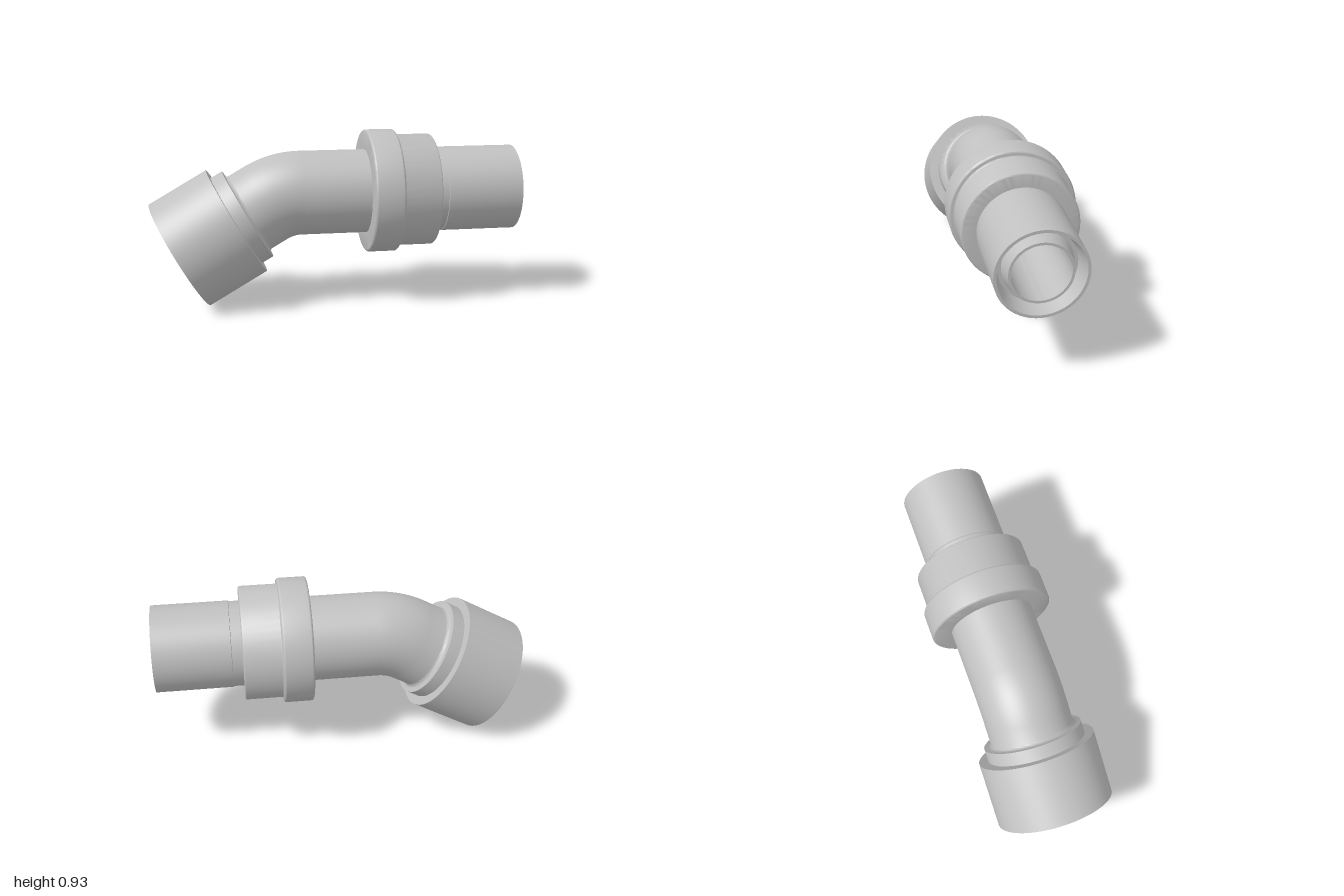
import * as THREE from 'three';
import { toCreasedNormals } from 'three/addons/utils/BufferGeometryUtils.js';

const SEG = 96;
const AXIS_Y = 0.595;            // height of the straight pipe's axis
const PIPE_R = 0.2275, BORE_R = 0.147;
const BEND_X = -0.187, BEND_R = 0.373, BEND_ANGLE = Math.PI / 6;

// Quarter-round from angle a0 to a1 about (r, s) in a lathe profile
function round(r, s, rad, a0, a1, n = 6) {
  return Array.from({ length: n + 1 }, (_, i) => {
    const a = THREE.MathUtils.degToRad(a0 + (a1 - a0) * i / n);
    return [r + rad * Math.cos(a), s + rad * Math.sin(a)];
  });
}

export function createModel() {
  const model = new THREE.Group();
  model.name = 'pipeElbow';
  const grey = new THREE.MeshStandardMaterial({ color: 0xc0c0c0, side: THREE.DoubleSide });
  grey.name = 'grey';

  // Turned part: profile of [radius, distance along axis]
  function turned(parent, name, profile) {
    const pts = profile.map(([r, s]) => new THREE.Vector2(r, s));
    const geo = toCreasedNormals(new THREE.LatheGeometry(pts, SEG), 0.6);
    const mesh = new THREE.Mesh(geo, grey);
    mesh.name = name;
    parent.add(mesh);
  }

  // Straight run, axis along +x
  const straight = new THREE.Group();
  straight.name = 'straightRun';
  straight.position.y = AXIS_Y;
  straight.rotation.z = -Math.PI / 2;
  model.add(straight);

  turned(straight, 'pipe', [[PIPE_R, BEND_X], [PIPE_R, 0.18]]);

  // Two-step coupling nut with rounded edges
  turned(straight, 'coupling', [
    [PIPE_R, 0.17],
    ...round(0.323, 0.182, 0.012, -90, 0),
    ...round(0.323, 0.318, 0.012, 0, 90),
    ...round(0.313, 0.338, 0.008, 270, 180),
    ...round(0.295, 0.525, 0.01, 0, 90),
    [0.22, 0.535],
  ]);

  // Outer sleeve, tapered groove and inner nozzle at the open end
  turned(straight, 'spigot', [
    [0.228, 0.53], [0.228, 0.59], [0.232, 0.592], [0.232, 1],
    [0.217, 1], [0.195, 0.9], [0.177, 0.9], [0.16, 0.985],
    [BORE_R, 0.985],
  ]);
  turned(straight, 'straightBore', [[BORE_R, 0.985], [BORE_R, BEND_X]]);

  // Bend, outside and bore
  for (const [name, r] of [['bend', PIPE_R], ['bendBore', BORE_R]]) {
    const mesh = new THREE.Mesh(
      new THREE.TorusGeometry(BEND_R, r, SEG, 24, BEND_ANGLE), grey);
    mesh.name = name;
    mesh.position.set(BEND_X, AXIS_Y - BEND_R, 0);
    mesh.rotation.z = Math.PI / 2;
    model.add(mesh);
  }

  // Tilted socket, its axis running from the open end up to the bend
  const socket = new THREE.Group();
  socket.name = 'socketEnd';
  const len = 0.54, a = BEND_ANGLE;
  socket.position.set(
    BEND_X - BEND_R * Math.sin(a) - len * Math.cos(a),
    AXIS_Y - BEND_R * (1 - Math.cos(a)) - len * Math.sin(a), 0);
  socket.rotation.z = a - Math.PI / 2;
  model.add(socket);

  turned(socket, 'socket', [
    [0.308, 0], [0.318, 0], [0.318, 0.355], [0.268, 0.355], [0.268, 0.425],
    ...round(PIPE_R + 0.02, 0.445, 0.02, 270, 180),
    [PIPE_R, len],
  ]);
  turned(socket, 'socketInside', [[BORE_R, len], [BORE_R, 0.34], [0.308, 0.34], [0.308, 0]]);

  return model;
}
